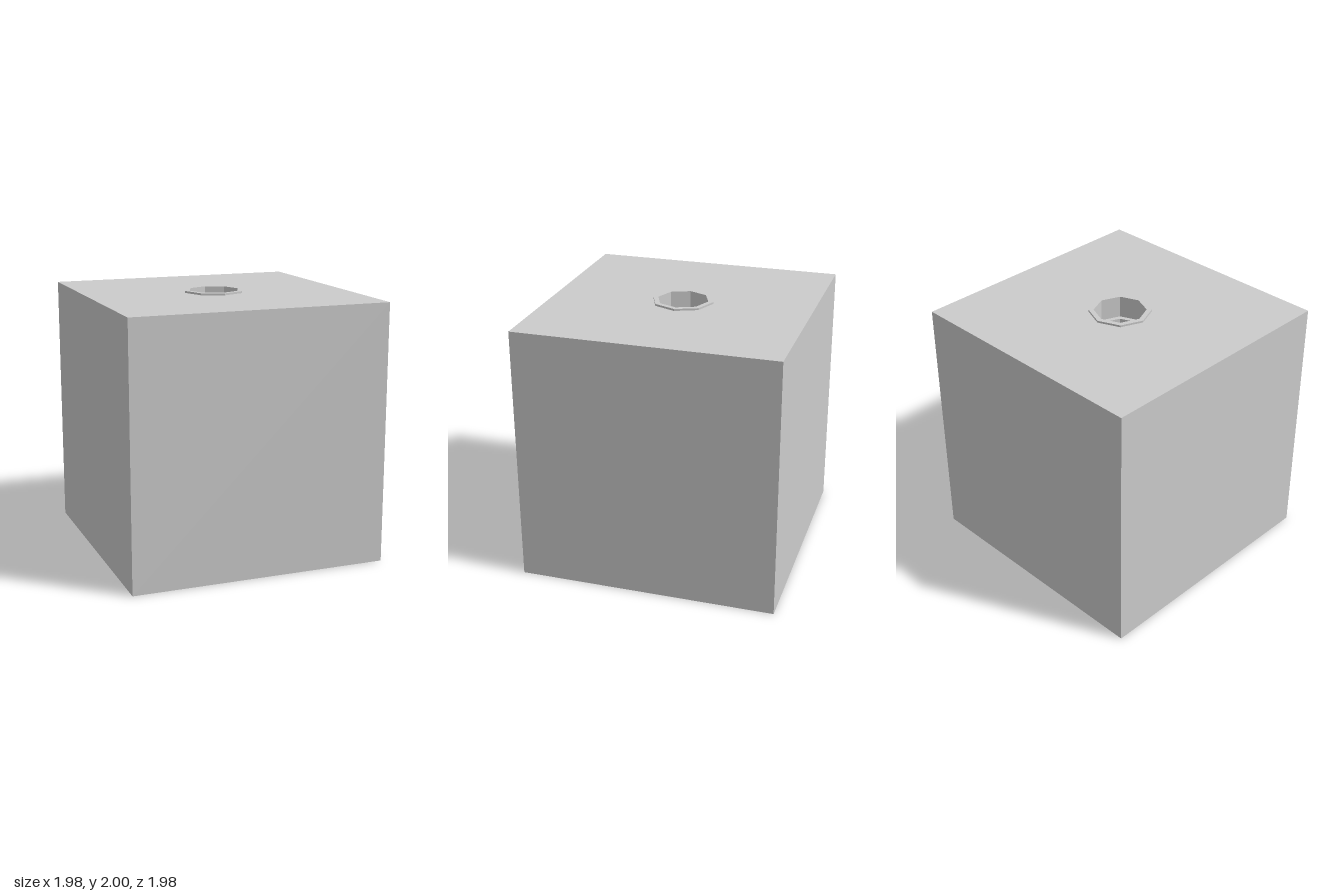
import * as THREE from 'three';

const SIZE = 1.977, TOP = 1.985, SIDES = 8;
const COLLAR_R = 0.236, SOCKET_R = 0.197, BORE_R = 0.16, LEDGE_Y = 1.83;

export function createModel() {
  const model = new THREE.Group();
  const material = new THREE.MeshStandardMaterial({ color: 0xcccccc, flatShading: true });
  const add = (name, geometry) => {
    const mesh = new THREE.Mesh(geometry, material);
    mesh.name = name;
    model.add(mesh);
    return mesh;
  };

  // Square face with an octagonal opening
  const piercedSquare = (radius) => {
    const h = SIZE / 2;
    const shape = new THREE.Shape([[-h, -h], [h, -h], [h, h], [-h, h]].map(([x, y]) => new THREE.Vector2(x, y)));
    const corners = [];
    for (let i = 0; i < SIDES; i++) {
      const a = (i / SIDES) * Math.PI * 2;
      corners.push(new THREE.Vector2(radius * Math.cos(a), radius * Math.sin(a)));
    }
    shape.holes.push(new THREE.Path(corners));
    return new THREE.ShapeGeometry(shape);
  };

  // Four walls of the block
  for (let i = 0; i < 4; i++) {
    const wall = new THREE.PlaneGeometry(SIZE, TOP);
    wall.translate(0, TOP / 2, SIZE / 2).rotateY((i * Math.PI) / 2);
    add('blockWall' + (i + 1), wall);
  }

  // Top and bottom of the block
  add('blockTop', piercedSquare(COLLAR_R).rotateX(-Math.PI / 2).translate(0, TOP, 0));
  add('blockBottom', piercedSquare(BORE_R).rotateX(Math.PI / 2));

  // Raised collar, socket, ledge and narrower through-bore
  const profile = [
    [COLLAR_R, TOP], [COLLAR_R, 2], [SOCKET_R, 2],
    [SOCKET_R, LEDGE_Y], [BORE_R, LEDGE_Y], [BORE_R, 0],
  ].map(([r, y]) => new THREE.Vector2(r, y));
  add('collarAndBore', new THREE.LatheGeometry(profile, SIDES));

  return model;
}
